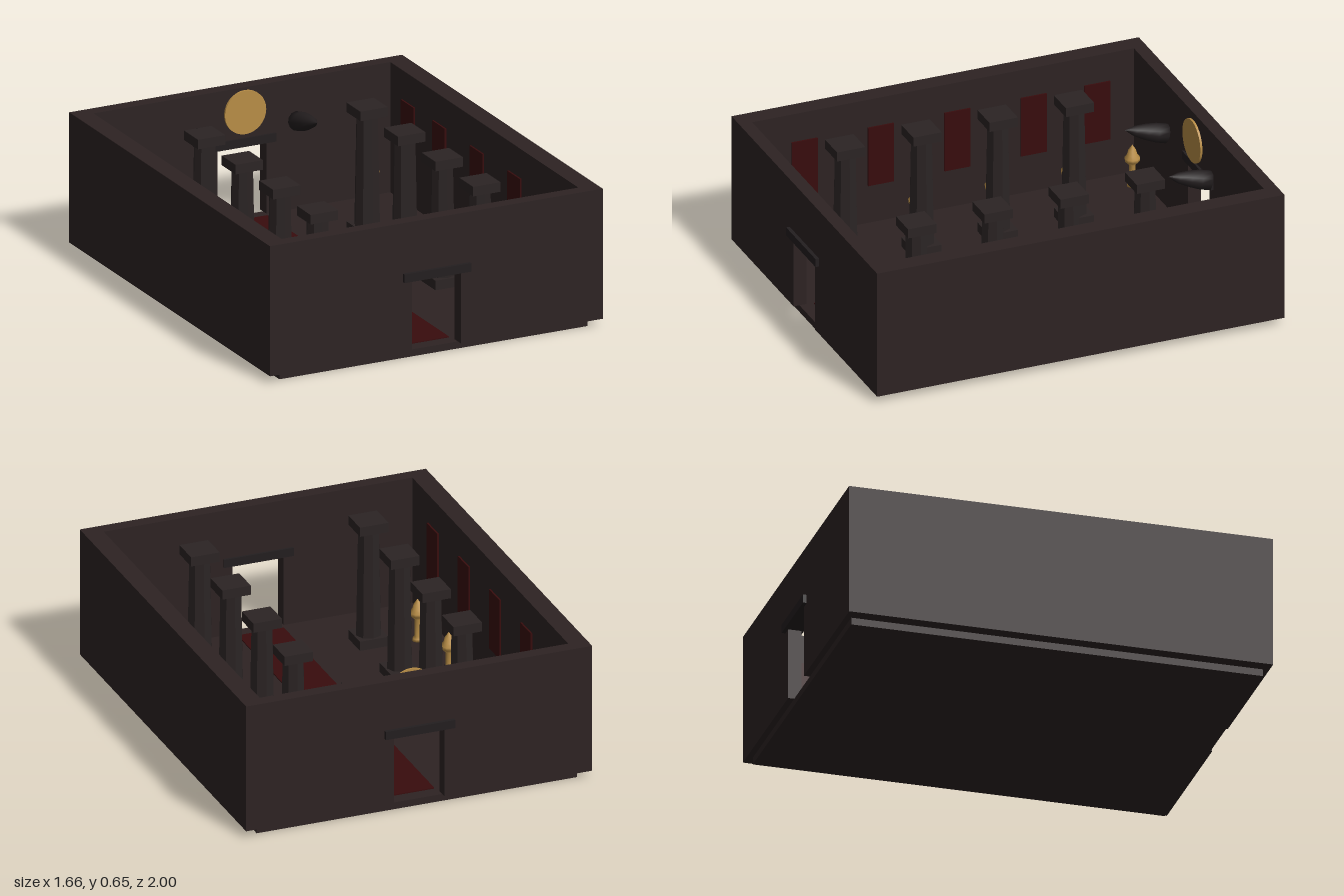
import * as THREE from 'three';

const mat = (name, color, extra = {}) => {
  const m = new THREE.MeshStandardMaterial({ color, ...extra });
  m.name = name;
  return m;
};

export function createModel() {
  const stone = mat('wall stone', 0x2d2323);
  const pillarStone = mat('pillar stone', 0x2b2424, { flatShading: true });
  const dark = mat('dark trim', 0x231e1f);
  const red = mat('red cloth', 0x380c0d);
  const gold = mat('gold', 0xb88d46);

  const model = new THREE.Group();
  model.name = 'hall';

  const add = (parent, name, geometry, material, x = 0, y = 0, z = 0) => {
    const mesh = new THREE.Mesh(geometry, material);
    mesh.name = name;
    mesh.position.set(x, y, z);
    parent.add(mesh);
    return mesh;
  };
  const box = (w, h, d) => new THREE.BoxGeometry(w, h, d);
  const lathe = (points, sides) =>
    new THREE.LatheGeometry(points.map(([r, y]) => new THREE.Vector2(r, y)), sides);

  // Floor and carpet
  const floorY = 0.033;
  add(model, 'floor', box(1.536, floorY, 1.91), stone, 0, floorY / 2, 0);
  add(model, 'carpet', box(0.22, 0.005, 1.78), red, 0, floorY + 0.0025, 0);

  // Side walls
  const wallTop = 0.648;
  const wallH = wallTop - floorY;
  for (const s of [-1, 1]) {
    add(model, s > 0 ? 'leftWall' : 'rightWall', box(0.09, wallH, 1.966), stone,
      s * 0.785, floorY + wallH / 2, 0);
  }

  // End walls with a doorway, each under a lintel
  const outline = new THREE.Shape([
    [-0.74, floorY], [-0.122, floorY], [-0.122, 0.37], [0.122, 0.37],
    [0.122, floorY], [0.74, floorY], [0.74, wallTop], [-0.74, wallTop],
  ].map(([x, y]) => new THREE.Vector2(x, y)));
  const endWall = new THREE.ExtrudeGeometry(outline, { depth: 0.062, bevelEnabled: false });
  for (const s of [-1, 1]) {
    const end = s > 0 ? 'front' : 'back';
    add(model, end + 'Wall', endWall, stone, 0, 0, s > 0 ? 0.921 : -0.983);
    add(model, end + 'Lintel', box(0.334, 0.04, 0.09), dark, 0, 0.39, s * 0.955);
  }

  // Two rows of four pillars
  const slab = box(0.137, 0.045, 0.137);
  const shaft = new THREE.CylinderGeometry(0.05, 0.06, 0.53, 8);
  for (const x of [-0.405, 0.405]) {
    for (let i = 0; i < 4; i++) {
      const pillar = new THREE.Group();
      pillar.name = 'pillar';
      pillar.position.set(x, 0, -0.49 + i * 0.368);
      add(pillar, 'pillarBase', slab, pillarStone, 0, floorY + 0.0225, 0);
      add(pillar, 'pillarShaft', shaft, pillarStone, 0, 0.335, 0);
      add(pillar, 'pillarCapital', slab, pillarStone, 0, 0.6175, 0);
      model.add(pillar);
    }
  }

  // Gold floor lamps along the walls, with banners between them
  const lamp = lathe([
    [0, 0], [0.024, 0], [0.022, 0.012], [0.014, 0.022], [0.014, 0.105],
    [0.034, 0.125], [0.036, 0.14], [0.024, 0.155], [0.018, 0.178], [0, 0.205],
  ], 10);
  const banner = box(0.008, 0.29, 0.125);
  for (const s of [-1, 1]) {
    for (const z of [-0.86, -0.553, -0.185, 0.184, 0.552]) {
      add(model, 'floorLamp', lamp, gold, s * 0.615, floorY, z);
      add(model, 'banner', banner, red, s * 0.736, 0.365, z + 0.118);
    }
  }

  // Gold disc above the back doorway
  const disc = new THREE.CylinderGeometry(0.103, 0.103, 0.01, 32);
  disc.rotateX(Math.PI / 2);
  add(model, 'wallDisc', disc, gold, 0, 0.543, -0.89);

  // Pointed horns beside the disc, tilted slightly upward
  const horn = lathe([
    [0, 0], [0.045, 0], [0.044, 0.05], [0.037, 0.1], [0.024, 0.155], [0, 0.205],
  ], 12);
  horn.rotateX(Math.PI / 2 - 0.27);
  for (const s of [-1, 1]) add(model, 'horn', horn, dark, s * 0.247, 0.468, -0.866);

  return model;
}
